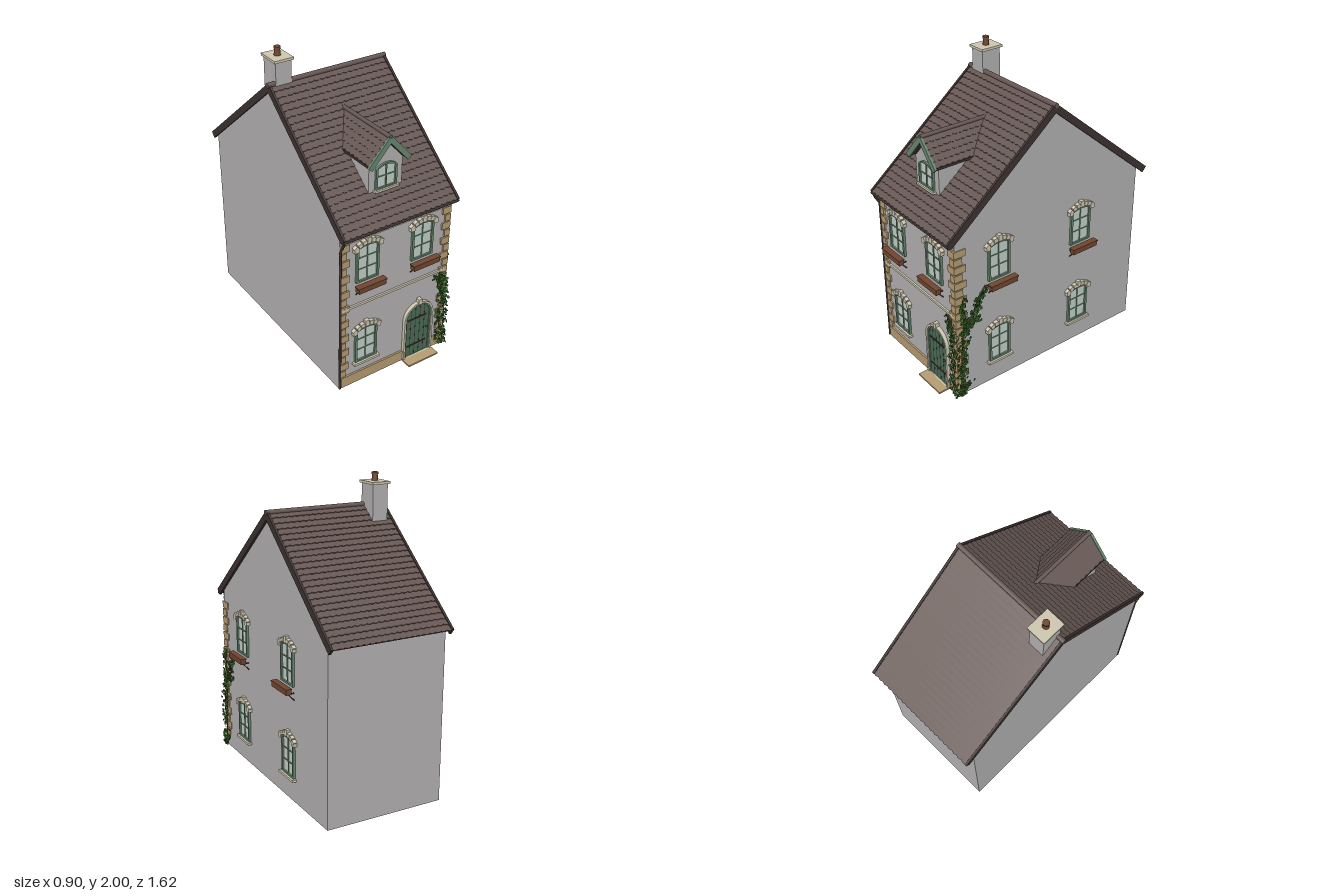
import * as THREE from 'three';
import { mergeGeometries } from 'three/addons/utils/BufferGeometryUtils.js';

const mat = (name, color, side = THREE.FrontSide) => {
  const m = new THREE.MeshStandardMaterial({ color, side });
  m.name = name;
  return m;
};
const wall = mat('render', 0xb2b0b0), roofTile = mat('roofTile', 0x665753), dark = mat('darkTrim', 0x3c3230),
  tan = mat('sandstone', 0xb59c72), cream = mat('paleStone', 0xcdc5ae), frameGreen = mat('paintedFrame', 0x67876f),
  doorGreen = mat('doorPaint', 0x4b6c55), glass = mat('glass', 0xc3cfc8), terracotta = mat('wood', 0x70452f),
  leafMat = mat('leaf', 0x2d5a20, THREE.DoubleSide);

let seed = 7;
const rnd = () => ((seed = (seed * 16807) % 2147483647) / 2147483647);

function add(parent, name, geo, m, x = 0, y = 0, z = 0) {
  const mesh = new THREE.Mesh(geo, m);
  mesh.name = name;
  mesh.position.set(x, y, z);
  parent.add(mesh);
  return mesh;
}
const box = (p, name, m, w, h, d, x, y, z) => add(p, name, new THREE.BoxGeometry(w, h, d), m, x, y, z);
const extrude = (shape, depth, curveSegments = 12) =>
  new THREE.ExtrudeGeometry(shape, { depth, bevelEnabled: false, curveSegments });
function group(parent, name, x = 0, y = 0, z = 0, ry = 0) {
  const g = new THREE.Group();
  g.name = name;
  g.position.set(x, y, z);
  g.rotation.y = ry;
  parent.add(g);
  return g;
}

// Opening with straight jambs and an arched head (rise above the spring line)
function archShape(hw, spring, rise, bottom = 0, Type = THREE.Shape) {
  const s = new Type(), r = (hw * hw + rise * rise) / (2 * rise), a = Math.asin(Math.min(1, hw / r));
  s.moveTo(-hw, bottom);
  s.lineTo(hw, bottom);
  s.absarc(0, spring + rise - r, r, Math.PI / 2 - a, Math.PI / 2 + a, false);
  s.lineTo(-hw, bottom);
  return s;
}
function archRing(hw, spring, rise, t, bottomBar) {
  const s = archShape(hw, spring, rise);
  s.holes.push(archShape(hw - t, spring, rise - t * 0.8, bottomBar, THREE.Path));
  return s;
}

// Window facing +z, origin at the bottom centre on the wall
function addWindow(parent, x, y, z, ry, planter) {
  const g = group(parent, 'window', x, y, z, ry);
  add(g, 'glass', extrude(archShape(0.072, 0.235, 0.018), 0.005), glass);
  add(g, 'frame', extrude(archRing(0.081, 0.236, 0.025, 0.015, 0.012), 0.016), frameGreen);
  box(g, 'mullion', frameGreen, 0.008, 0.245, 0.01, 0, 0.125, 0.005);
  for (const h of [0.09, 0.17]) box(g, 'glazingBar', frameGreen, 0.14, 0.006, 0.009, 0, h, 0.005);
  for (let i = -3; i <= 3; i++) {
    const a = i * 0.215, r = 0.145 + (i ? 0 : 0.004);
    box(g, 'archStone', cream, 0.027, i ? 0.028 : 0.042, 0.03, Math.sin(a) * r, 0.135 + Math.cos(a) * r, 0.01)
      .rotation.z = -a;
  }
  for (const s of [-1, 1]) box(g, 'archEnd', cream, 0.03, 0.022, 0.03, s * 0.088, 0.236, 0.01);
  if (!planter) {
    box(g, 'sill', cream, 0.19, 0.016, 0.035, 0, -0.008, 0.012);
    return;
  }
  const p = group(g, 'planter');
  box(p, 'planterBox', terracotta, 0.198, 0.034, 0.036, 0, -0.022, 0.05);
  box(p, 'planterRim', terracotta, 0.208, 0.008, 0.042, 0, -0.004, 0.05);
  for (const s of [-1, 1]) {
    box(p, 'bracketArm', dark, 0.006, 0.006, 0.06, s * 0.075, -0.041, 0.032);
    box(p, 'bracketBrace', dark, 0.006, 0.066, 0.006, s * 0.075, -0.064, 0.023).rotation.x = 0.75;
  }
}

// Scalloped tile course, running down +z
function courseGeometry(width, length) {
  const s = new THREE.Shape(), n = Math.round(width / 0.041), w = width / n;
  s.moveTo(-width / 2, 0);
  s.lineTo(-width / 2, length);
  for (let i = 0; i < n; i++) {
    const x = -width / 2 + i * w;
    s.quadraticCurveTo(x + w / 2, length + 0.014, x + w, length);
  }
  s.lineTo(width / 2, 0);
  return extrude(s, 0.006, 4).rotateX(Math.PI / 2);
}
// Roof slope falling along local +z from the ridge at the origin
function addSlope(parent, ry, angle, width, length, pitch, verge) {
  const turn = group(parent, 'roofSlope', 0, 0, 0, ry), g = group(turn, 'slope');
  g.rotation.x = angle;
  box(g, 'roofDeck', dark, width, 0.02, length - 0.01, 0, -0.014, length / 2 - 0.005);
  const course = courseGeometry(width, pitch + 0.012);
  for (let i = 0, n = Math.round(length / pitch); i < n; i++)
    add(g, 'tileCourse', course, roofTile, 0, 0.001, i * pitch - 0.012).rotation.x = -0.13;
  if (verge) for (const s of [-1, 1])
    box(g, 'verge', dark, 0.016, 0.045, length + 0.01, s * (width / 2 + 0.002), -0.01, length / 2);
}
const rod = (p, name, m, r, len, x, y, z, axis) => {
  const c = add(p, name, new THREE.CylinderGeometry(r, r, len, 12), m, x, y, z);
  if (axis) c.rotation[axis] = Math.PI / 2;
  return c;
};

// Ivy: stems over the two walls with scattered leaves
function addIvy(parent) {
  const g = group(parent, 'ivy');
  const F = 0.728, S = 0.392;
  const branches = [ // points [x, y, z], leaf count, spread
    [[[0.36, 0, F], [0.35, 0.2, F], [0.36, 0.4, F], [0.33, 0.6, F]], 190, 0.034],
    [[[0.35, 0.38, F], [0.33, 0.5, F], [0.29, 0.58, F]], 45, 0.026],
    [[[S, 0, 0.71], [S, 0.2, 0.70], [S, 0.4, 0.69], [S, 0.6, 0.66]], 170, 0.036],
    [[[S, 0.05, 0.72], [S, 0.09, 0.64]], 30, 0.025],
    [[[S, 0.5, 0.68], [S, 0.6, 0.60], [S, 0.68, 0.57], [S, 0.76, 0.51]], 85, 0.026],
    [[[S, 0.52, 0.66], [S, 0.56, 0.55]], 35, 0.025],
    [[[S, 0.56, 0.68], [S, 0.66, 0.69], [S, 0.74, 0.67]], 35, 0.022],
  ];
  const leaf = new THREE.CircleGeometry(0.0115, 5), leaves = [], o = new THREE.Object3D();
  for (const [pts, count, spread] of branches) {
    const side = pts[0][0] === S;
    const curve = new THREE.CatmullRomCurve3(pts.map(p => new THREE.Vector3(...p)));
    add(g, 'stem', new THREE.TubeGeometry(curve, 12, 0.005, 5), terracotta);
    for (let i = 0; i < count; i++) {
      const p = curve.getPoint(rnd()), across = (rnd() + rnd() - 1) * spread * 1.3, out = rnd() * 0.022;
      o.position.set(p.x + (side ? out : across), p.y + (rnd() - 0.5) * 0.03, p.z + (side ? across : out));
      o.position.y = Math.max(0.015, o.position.y);
      o.rotation.set((rnd() - 0.5) * 1.4, (side ? Math.PI / 2 : 0) + (rnd() - 0.5) * 1.4, rnd() * 6);
      o.updateMatrix();
      leaves.push(leaf.clone().applyMatrix4(o.matrix));
    }
  }
  add(g, 'leaves', mergeGeometries(leaves), leafMat);
}

export function createModel() {
  const house = new THREE.Group();
  house.name = 'townhouse';

  // Hollow walls: two gables plus front and back
  const gable = new THREE.Shape();
  gable.moveTo(-0.72, 0);
  gable.lineTo(0.74, 0);
  gable.lineTo(0.74, 1.155);
  gable.lineTo(0.015, 1.765);
  gable.lineTo(-0.72, 1.155);
  const gableGeo = extrude(gable, 0.04).rotateY(Math.PI / 2);
  add(house, 'gableRight', gableGeo, wall, 0.34);
  add(house, 'gableLeft', gableGeo, wall, -0.43);
  box(house, 'frontWall', wall, 0.73, 1.155, 0.04, -0.025, 0.5775, 0.70);
  box(house, 'backWall', wall, 0.73, 1.155, 0.04, -0.025, 0.5775, -0.72);

  // Interior floor pieces seen from beneath
  box(house, 'innerFloor', tan, 0.73, 0.07, 0.19, -0.025, 0.045, 0.585);
  box(house, 'innerBlock', tan, 0.30, 0.42, 0.19, -0.24, 0.29, 0.585);
  box(house, 'upperFloor', tan, 0.73, 0.02, 1.38, -0.025, 0.56, -0.01);

  // Main roof
  const roof = group(house, 'mainRoof', -0.02, 1.79, -0.015);
  const pitch = Math.atan2(0.655, 0.79);
  for (const ry of [0, Math.PI]) addSlope(roof, ry, pitch, 0.82, 1.02, 0.0443, true);
  rod(roof, 'ridge', roofTile, 0.016, 0.85, 0, 0.003, 0, 'z');
  rod(house, 'gutter', dark, 0.012, 0.84, -0.02, 1.128, 0.768, 'z');
  const pipe = new THREE.CatmullRomCurve3([[1.125, 0.768], [1.09, 0.755], [1.05, 0.731], [0.98, 0.729], [0.5, 0.729], [0.005, 0.729]]
    .map(([y, z]) => new THREE.Vector3(-0.427, y, z)));
  add(house, 'downpipe', new THREE.TubeGeometry(pipe, 40, 0.008, 8), dark);

  // Chimney
  const chimney = group(house, 'chimney', -0.34, 0, -0.065);
  box(chimney, 'stack', wall, 0.108, 0.28, 0.135, 0, 1.795, 0);
  box(chimney, 'cap', cream, 0.13, 0.016, 0.16, 0, 1.937, 0);
  add(chimney, 'pot', new THREE.CylinderGeometry(0.017, 0.021, 0.045, 12), terracotta, 0, 1.966, 0);
  rod(chimney, 'potRim', terracotta, 0.021, 0.014, 0, 1.993, 0);

  // Dormer
  const dormer = group(house, 'dormer', -0.035, 0, 0);
  const face = new THREE.Shape();
  face.moveTo(-0.12, 1.24);
  face.lineTo(0.12, 1.24);
  face.lineTo(0.12, 1.47);
  face.lineTo(0, 1.605);
  face.lineTo(-0.12, 1.47);
  add(dormer, 'dormerWalls', extrude(face, 0.40), wall, 0, 0, 0.21);
  const dAngle = Math.atan2(0.155, 0.138);
  const dRoof = group(dormer, 'dormerRoof', 0, 1.625, 0.42);
  for (const s of [-1, 1]) {
    addSlope(dRoof, s * Math.PI / 2, dAngle, 0.45, 0.203, 0.04, false);
    box(dRoof, 'bargeboard', frameGreen, 0.215, 0.034, 0.016, s * 0.069, -0.087, 0.227).rotation.z = -s * dAngle;
    const end = group(dRoof, 'eaveTrim', s * 0.137, -0.158, 0);
    box(end, 'eaveBoard', dark, 0.012, 0.016, 0.45, 0, 0, 0);
  }
  rod(dRoof, 'dormerRidge', roofTile, 0.013, 0.48, 0, 0.003, -0.01, 'x');
  const dw = group(dormer, 'dormerWindow', 0, 1.287, 0.61);
  add(dw, 'glass', extrude(archShape(0.065, 0.135, 0.022), 0.004), glass);
  add(dw, 'frame', extrude(archRing(0.076, 0.137, 0.03, 0.014, 0.012), 0.014), frameGreen);
  box(dw, 'mullion', frameGreen, 0.008, 0.145, 0.009, 0, 0.077, 0.005);
  box(dw, 'glazingBar', frameGreen, 0.13, 0.006, 0.008, 0, 0.083, 0.005);
  box(dw, 'sill', cream, 0.175, 0.014, 0.03, 0, -0.004, 0.01);

  // Windows on the front and right walls
  addWindow(house, -0.235, 0.165, 0.72, 0, false);
  for (const x of [-0.235, 0.172]) addWindow(house, x, 0.775, 0.72, 0, true);
  for (const z of [0.403, -0.252]) {
    addWindow(house, 0.38, 0.165, z, Math.PI / 2, false);
    addWindow(house, 0.38, 0.775, z, Math.PI / 2, true);
  }

  // Door
  const door = group(house, 'door', 0.172, 0.012, 0.72);
  add(door, 'doorLeaf', extrude(archShape(0.097, 0.305, 0.097), 0.008), doorGreen);
  add(door, 'doorFrame', extrude(archRing(0.102, 0.305, 0.102, 0.012, 0), 0.016), frameGreen);
  const surround = archShape(0.114, 0.305, 0.114);
  surround.holes.push(archShape(0.1, 0.305, 0.1, 0, THREE.Path));
  add(door, 'doorSurround', extrude(surround, 0.024, 20), cream);
  box(door, 'keystone', cream, 0.026, 0.042, 0.032, 0, 0.424, 0.012);
  for (const x of [-0.054, -0.018, 0.018, 0.054])
    box(door, 'plankGroove', dark, 0.004, Math.abs(x) > 0.03 ? 0.37 : 0.388, 0.002, x, Math.abs(x) > 0.03 ? 0.187 : 0.196, 0.008);
  for (const y of [0.08, 0.29]) box(door, 'strapHinge', dark, 0.16, 0.01, 0.006, -0.01, y, 0.009);
  add(door, 'knob', new THREE.SphereGeometry(0.008, 10, 8), dark, 0.072, 0.19, 0.015);
  box(house, 'doorstep', tan, 0.235, 0.012, 0.1, 0.172, 0.006, 0.76);

  // Plinth, string course and cornice
  box(house, 'plinth', tan, 0.475, 0.075, 0.02, -0.18, 0.042, 0.722);
  box(house, 'plinth', tan, 0.095, 0.075, 0.02, 0.333, 0.042, 0.722);
  box(house, 'stringCourse', cream, 0.78, 0.016, 0.02, -0.025, 0.607, 0.722);
  box(house, 'cornice', cream, 0.8, 0.016, 0.03, -0.025, 1.092, 0.727);
  box(house, 'fascia', frameGreen, 0.8, 0.018, 0.02, -0.025, 1.118, 0.727);
  for (let i = 0; i < 26; i++) box(house, 'dentil', cream, 0.014, 0.01, 0.03, -0.412 + i * 0.031, 1.105, 0.727);

  // Corner stones, alternately long and short
  for (let i = 0; i < 18; i++) {
    const y = 0.11 + i * 0.0552, long = i % 2, w = long ? 0.064 : 0.042, d = long ? 0.085 : 0.06;
    box(house, 'cornerStone', tan, w, 0.047, 0.04, -0.427 + w / 2, y, 0.711);
    box(house, 'cornerStone', tan, w, 0.047, 0.04, 0.386 - w / 2, y, 0.711);
    box(house, 'cornerStone', tan, 0.03, 0.047, d, 0.371, y, 0.7305 - d / 2);
  }

  addIvy(house);
  return house;
}
